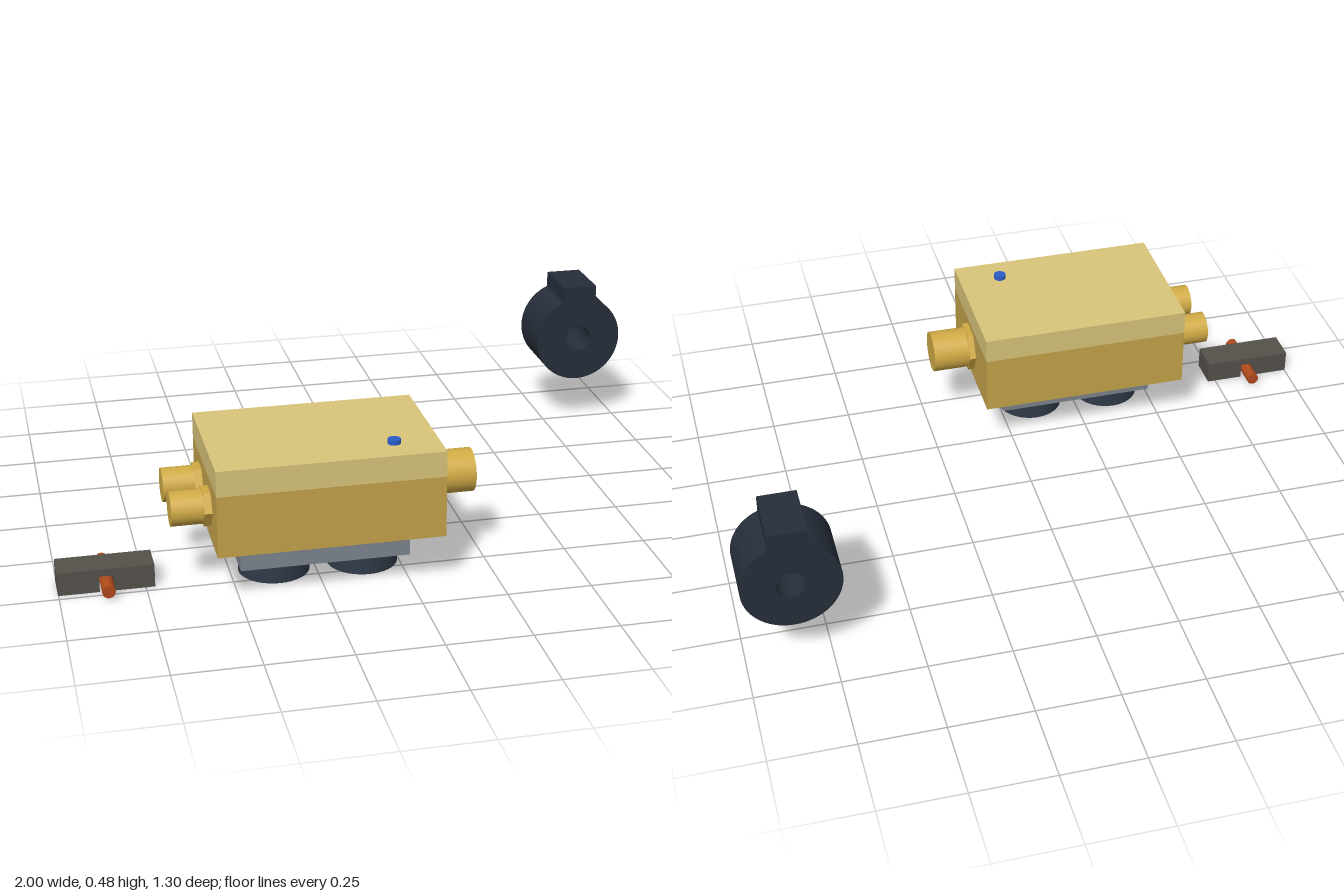
import * as THREE from 'three';

const mat = (color) => new THREE.MeshStandardMaterial({ color });
const BRASS = mat(0xc4a24a), LID = mat(0xd9c47a), CONNECTOR = mat(0xd0aa45);
const PLATE = mat(0x7d848c), RUBBER = mat(0x2f3a48), FERRITE = mat(0x262e3a);
const POST = mat(0xd8d8d8), RED = mat(0xc8221e), BLUE = mat(0x2a5cc8);
const BAR = mat(0x55504a), COPPER = mat(0xb04a1c);

export function createModel() {
  const model = new THREE.Group();

  const add = (name, geometry, material, x, y, z, parent = model) => {
    const mesh = new THREE.Mesh(geometry, material);
    mesh.name = name;
    mesh.position.set(x, y, z);
    parent.add(mesh);
    return mesh;
  };
  // Box given by its limits on each axis
  const box = (name, material, [x0, x1], [y0, y1], [z0, z1]) =>
    add(name, new THREE.BoxGeometry(x1 - x0, y1 - y0, z1 - z0), material,
      (x0 + x1) / 2, (y0 + y1) / 2, (z0 + z1) / 2);
  // Upright cylinder from y0 to y1
  const disc = (name, material, r, x, z, y0, y1) =>
    add(name, new THREE.CylinderGeometry(r, r, y1 - y0, 40), material, x, (y0 + y1) / 2, z);

  // Housing with lighter lid
  box('housing', BRASS, [-0.565, 0.092], [0.155, 0.34], [0.205, 0.652]);
  box('lid', LID, [-0.565, 0.092], [0.34, 0.417], [0.205, 0.652]);
  disc('indicator', BLUE, 0.019, -0.04, 0.56, 0.417, 0.431);

  // Connectors: hexagonal nut and round barrel pointing along x
  const connector = (name, x, z, dir, r, nutR, nutLength, length) => {
    const group = new THREE.Group();
    group.name = name;
    group.position.set(x, 0.256, z);
    group.rotation.z = -dir * Math.PI / 2;
    const nut = new THREE.CylinderGeometry(nutR, nutR, nutLength, 6).toNonIndexed();
    nut.computeVertexNormals();
    add('nut', nut, CONNECTOR, 0, nutLength / 2, 0, group);
    add('barrel', new THREE.CylinderGeometry(r, r, length, 40), CONNECTOR, 0, length / 2, 0, group);
    model.add(group);
  };
  connector('largeConnector', 0.092, 0.428, 1, 0.065, 0.076, 0.02, 0.133);
  for (const z of [0.342, 0.514]) connector('smallConnector', -0.565, z, -1, 0.05, 0.058, 0.022, 0.115);

  // Screws under the housing
  for (const x of [-0.26, -0.008])
    for (const z of [0.265, 0.597]) disc('screw', RED, 0.017, x, z, 0.14, 0.155);

  // Base plate on posts, with two pads below
  box('basePlate', PLATE, [-0.486, 0.012], [0.057, 0.118], [0.314, 0.55]);
  for (const x of [-0.457, -0.016])
    for (const z of [0.344, 0.52]) disc('post', POST, 0.018, x, z, 0.118, 0.155);
  disc('coupler', PLATE, 0.07, -0.374, 0.432, 0.118, 0.147);
  disc('couplerSeal', RED, 0.065, -0.374, 0.432, 0.147, 0.155);
  for (const x of [-0.37, -0.106]) disc('pad', RUBBER, 0.105, x, 0.432, 0, 0.057);

  // Bar with a slot along its underside, holding a rod
  const profile = new THREE.Shape([
    [-0.14, 0], [-0.021, 0], [-0.021, 0.048], [0.021, 0.048],
    [0.021, 0], [0.138, 0], [0.138, 0.07], [-0.14, 0.07],
  ].map(([x, y]) => new THREE.Vector2(x, y)));
  add('slottedBar', new THREE.ExtrudeGeometry(profile, { depth: 0.1, bevelEnabled: false }),
    BAR, -0.862, 0, 0.378);
  add('rod', new THREE.CylinderGeometry(0.019, 0.019, 0.222, 32).rotateX(Math.PI / 2),
    COPPER, -0.862, 0.027, 0.428);

  // Ring core with a square tab on top
  const R = 0.145, tab = 0.057, a = Math.acos(tab / R);
  const ring = new THREE.Shape();
  ring.moveTo(tab, 0.184);
  ring.lineTo(-tab, 0.184);
  ring.absarc(0, 0, R, Math.PI - a, 2 * Math.PI + a, false);
  ring.closePath();
  ring.holes.push(new THREE.Path().absarc(0, 0, 0.043, 0, 2 * Math.PI, true));
  add('ringCore', new THREE.ExtrudeGeometry(ring, { depth: 0.183, bevelEnabled: false, curveSegments: 48 }),
    FERRITE, 0.854, 0.3, -0.651);

  return model;
}
